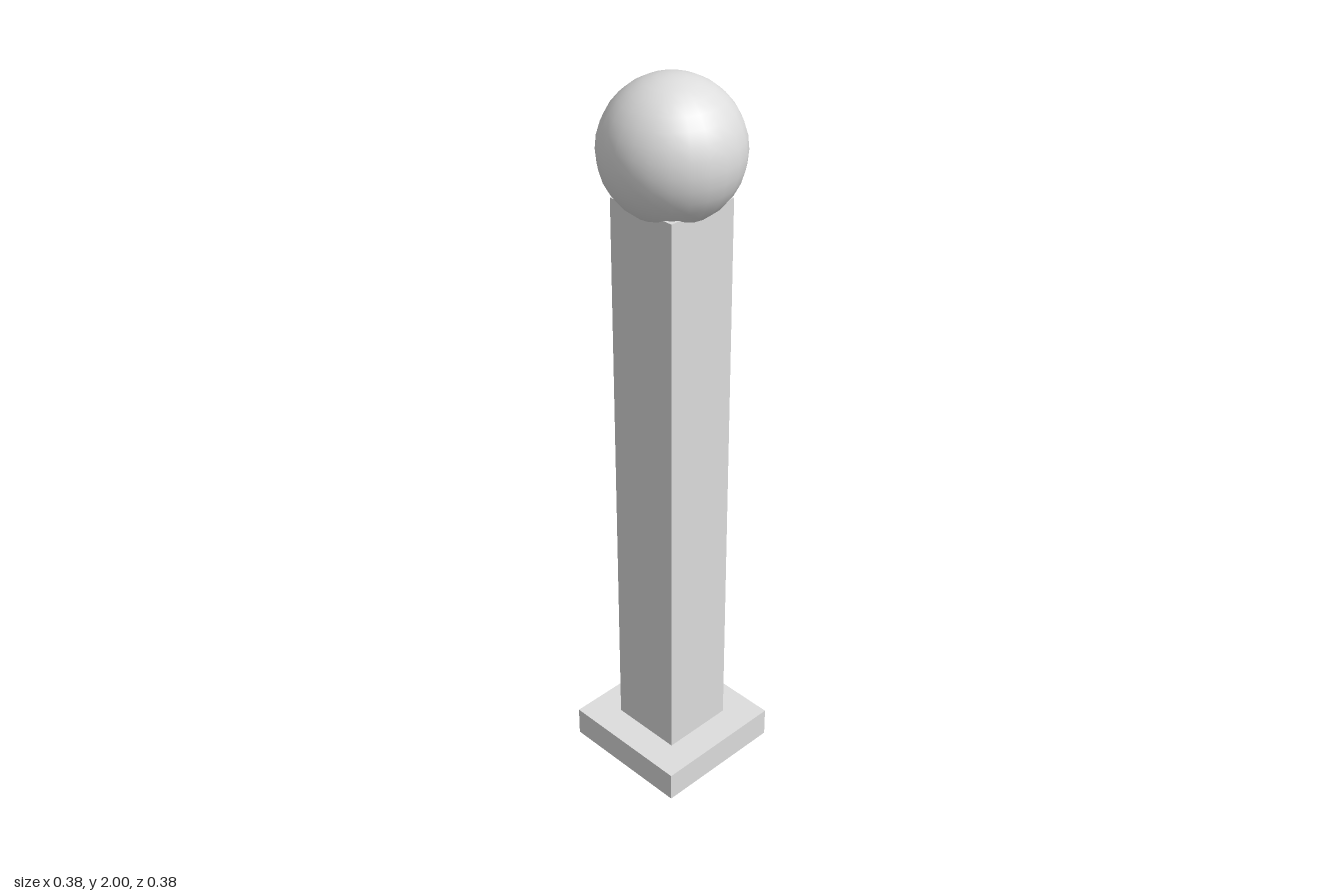
import * as THREE from 'three';

export function createModel() {
  const model = new THREE.Group();
  model.name = 'ballTopPost';
  const stone = new THREE.MeshStandardMaterial({ color: 0xdddddd });
  stone.name = 'pale grey';

  const add = (name, geometry, y) => {
    const mesh = new THREE.Mesh(geometry, stone);
    mesh.name = name;
    mesh.position.y = y;
    model.add(mesh);
  };
  // Square column of a given width between two heights
  const block = (name, width, bottom, top) =>
    add(name, new THREE.BoxGeometry(width, top - bottom, width), (bottom + top) / 2);

  block('base', 0.38, 0, 0.085);
  block('post', 0.208, 0.085, 1.696);

  // Ball finial, sunk into the post top
  add('ball', new THREE.SphereGeometry(0.18, 24, 16), 1.82);
  return model;
}
